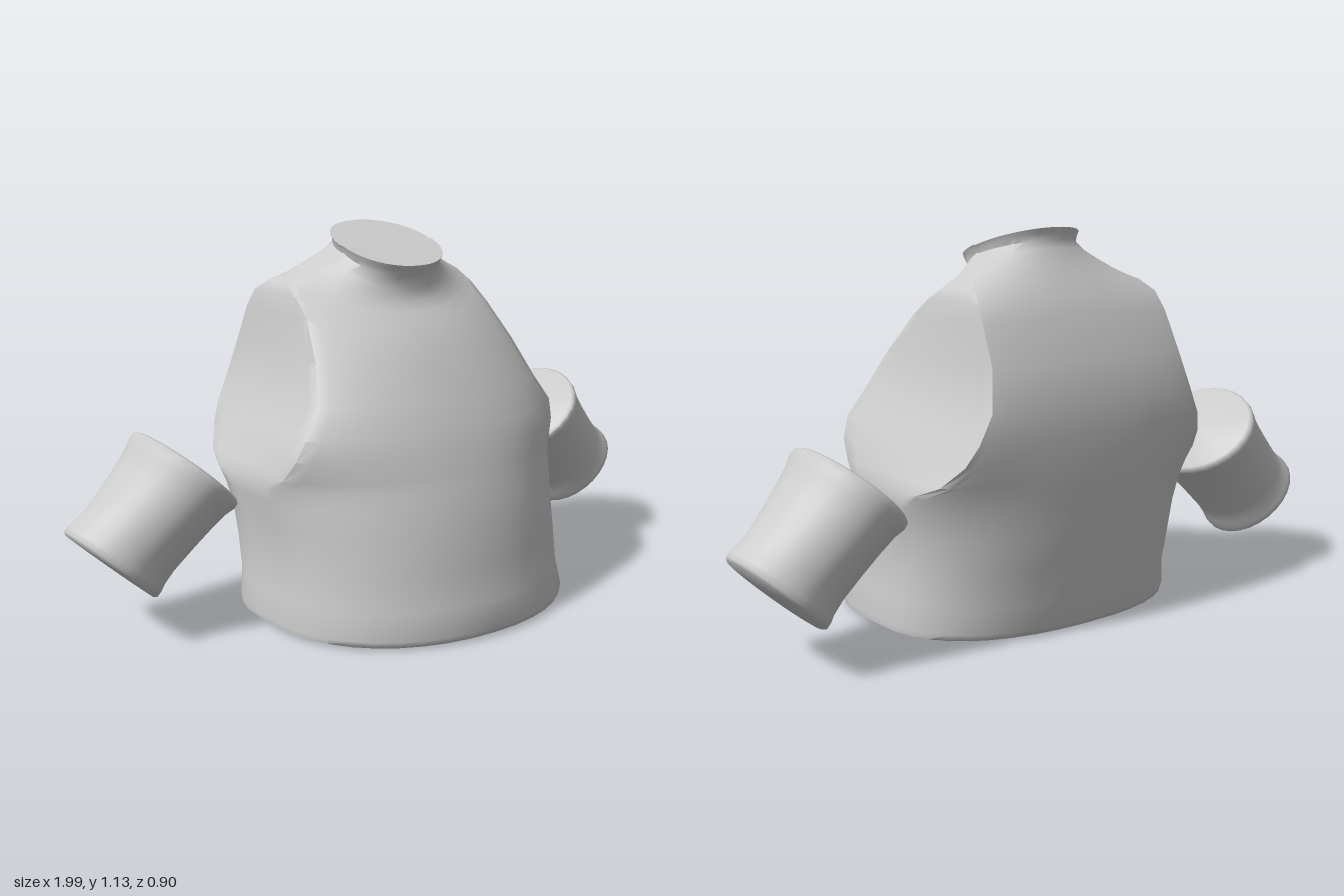
import * as THREE from 'three';
import { toCreasedNormals } from 'three/addons/utils/BufferGeometryUtils.js';

const material = new THREE.MeshStandardMaterial({ color: 0xcccccc });

// Closed loft through rings of equal length, with a flat cap on both ends
function loft(rings, name) {
  const n = rings[0].length, pos = [];
  const tri = (...pts) => pts.forEach(p => pos.push(...p));
  for (let i = 0; i < rings.length - 1; i++) {
    for (let j = 0; j < n; j++) {
      const k = (j + 1) % n;
      const a = rings[i][j], b = rings[i][k], c = rings[i + 1][j], d = rings[i + 1][k];
      tri(a, c, b);
      tri(b, c, d);
    }
  }
  const cap = (ring, top) => {
    const mid = [0, 1, 2].map(k => ring.reduce((s, p) => s + p[k], 0) / n);
    ring.forEach((p, j) => {
      const q = ring[(j + 1) % n];
      top ? tri(mid, q, p) : tri(mid, p, q);
    });
  };
  cap(rings[0], false);
  cap(rings[rings.length - 1], true);
  const g = new THREE.BufferGeometry();
  g.setAttribute('position', new THREE.Float32BufferAttribute(pos, 3));
  const mesh = new THREE.Mesh(toCreasedNormals(g, 0.95), material);
  mesh.name = name;
  return mesh;
}

// One torso ring: back arc, side wall and front arc, then mirrored.
// The wall runs from x - tuck at its back edge to x at its front edge, sunk by dent between.
function torsoRing({ side, wall, front, back, start, square, tuck = 0, dent = 0 }) {
  const [xs, ys] = side, [zf, zb] = wall, N = 10, half = [];
  const a0 = start * Math.PI / 180;
  const arc = (t, x0, z0, [z1, y1], p) => {
    const a = a0 + (Math.PI / 2 - a0) * t;
    const c = v => Math.pow(Math.max(0, Math.cos(v)), p), s = v => Math.pow(Math.sin(v), p);
    const k = (s(a) - s(a0)) / (1 - s(a0));
    return [t === 1 ? 0 : x0 * c(a) / c(a0), ys + (y1 - ys) * k, z0 + (z1 - z0) * k];
  };
  for (let i = N; i > 0; i--) half.push(arc(i / N, xs - tuck, zb, back, square));
  for (let i = 0; i <= N; i++) {
    const t = i / N;
    half.push([xs - tuck * (1 - t) ** 2 - dent * Math.sin(Math.PI * t), ys, zb + (zf - zb) * t]);
  }
  for (let i = 1; i <= N; i++) half.push(arc(i / N, xs, zf, front, 0.95));
  const other = half.slice(1, -1).reverse().map(([x, y, z]) => [-x, y, z]);
  return [...half, ...other];
}

function createTorso() {
  const rings = [];
  // Level rings: x, y, wall front z, wall back z, front z, back z, arc start, squareness, tuck, dent
  [
    [0.465, 0, 0.04, -0.06, 0.43, -0.375, 0, 0.84, 0, 0],
    [0.483, 0.008, 0.04, -0.06, 0.445, -0.395, 0, 0.84, 0, 0],
    [0.485, 0.025, 0.04, -0.06, 0.452, -0.402, 0, 0.84, 0, 0],
    [0.472, 0.10, 0.04, -0.07, 0.428, -0.407, 0, 0.83, 0, 0],
    [0.466, 0.20, 0.04, -0.10, 0.414, -0.427, 0, 0.82, 0, 0],
    [0.474, 0.30, 0.04, -0.14, 0.395, -0.44, 4, 0.8, 0, 0],
    [0.488, 0.38, 0.04, -0.19, 0.375, -0.445, 8, 0.78, 0, 0],
    [0.493, 0.425, 0.05, -0.25, 0.36, -0.45, 14, 0.78, 0, 0],
    [0.487, 0.46, 0.10, -0.335, 0.348, -0.452, 22, 0.8, 0.02, 0.005],
    [0.473, 0.52, 0.145, -0.395, 0.328, -0.453, 30, 0.82, 0.045, 0.012],
    [0.449, 0.58, 0.16, -0.42, 0.302, -0.453, 34, 0.85, 0.05, 0.018],
    [0.396, 0.66, 0.143, -0.425, 0.26, -0.447, 38, 0.88, 0.035, 0.012],
    [0.36, 0.77, 0.08, -0.395, 0.19, -0.42, 40, 0.9, 0.022, 0.008],
  ].forEach(([x, y, zf, zb, F, B, start, square, tuck, dent]) => rings.push(torsoRing({
    side: [x, y], wall: [zf, zb], front: [F, y], back: [B, y], start, square, tuck, dent })));
  // Tilted shoulder and neck rings: x, y, wall front/back z, front z/y, back z/y, arc start
  [
    [0.33, 0.88, -0.01, -0.345, 0.152, 0.825, -0.36, 0.89, 40],
    [0.322, 0.935, -0.08, -0.31, 0.12, 0.86, -0.335, 0.94, 36],
    [0.31, 0.967, -0.13, -0.25, 0.09, 0.89, -0.30, 0.985, 26],
    [0.25, 0.996, -0.12, -0.18, 0.066, 0.915, -0.27, 1.03, 12],
    [0.185, 1.027, -0.085, -0.115, 0.057, 0.95, -0.245, 1.07, 3],
    [0.156, 1.052, -0.08, -0.09, 0.06, 0.985, -0.236, 1.092, 0],
    [0.16, 1.067, -0.075, -0.085, 0.075, 1.005, -0.24, 1.112, 0],
    [0.165, 1.075, -0.075, -0.085, 0.082, 1.02, -0.244, 1.127, 0],
  ].forEach(([x, y, zf, zb, Fz, Fy, Bz, By, start]) => rings.push(torsoRing({
    side: [x, y], wall: [zf, zb], front: [Fz, Fy], back: [Bz, By], start, square: 0.95 })));
  return loft(rings, 'torso');
}

// Short flared sleeve, sloping down and away from the torso
function createSleeve(s, name) {
  const N = 28;
  const rings = [
    [0, 0.162, 0.2], [0.006, 0.169, 0.209], [0.022, 0.169, 0.21], [0.05, 0.159, 0.202],
    [0.11, 0.153, 0.189], [0.18, 0.15, 0.175], [0.26, 0.15, 0.158], [0.305, 0.156, 0.153],
    [0.325, 0.162, 0.155], [0.343, 0.162, 0.155], [0.35, 0.153, 0.147],
  ].map(([d, r, rz]) => Array.from({ length: N }, (_, j) => {
    const a = j / N * Math.PI * 2, e = r * Math.cos(a);
    return [
      s * (0.643 + 0.69 * d + 0.72 * e),
      0.465 - 0.72 * d + 0.69 * e,
      -0.175 - 0.045 * d - s * rz * Math.sin(a),
    ];
  }));
  return loft(rings, name);
}

export function createModel() {
  const group = new THREE.Group();
  group.name = 'shirt';
  group.add(createTorso(), createSleeve(1, 'leftSleeve'), createSleeve(-1, 'rightSleeve'));
  return group;
}
